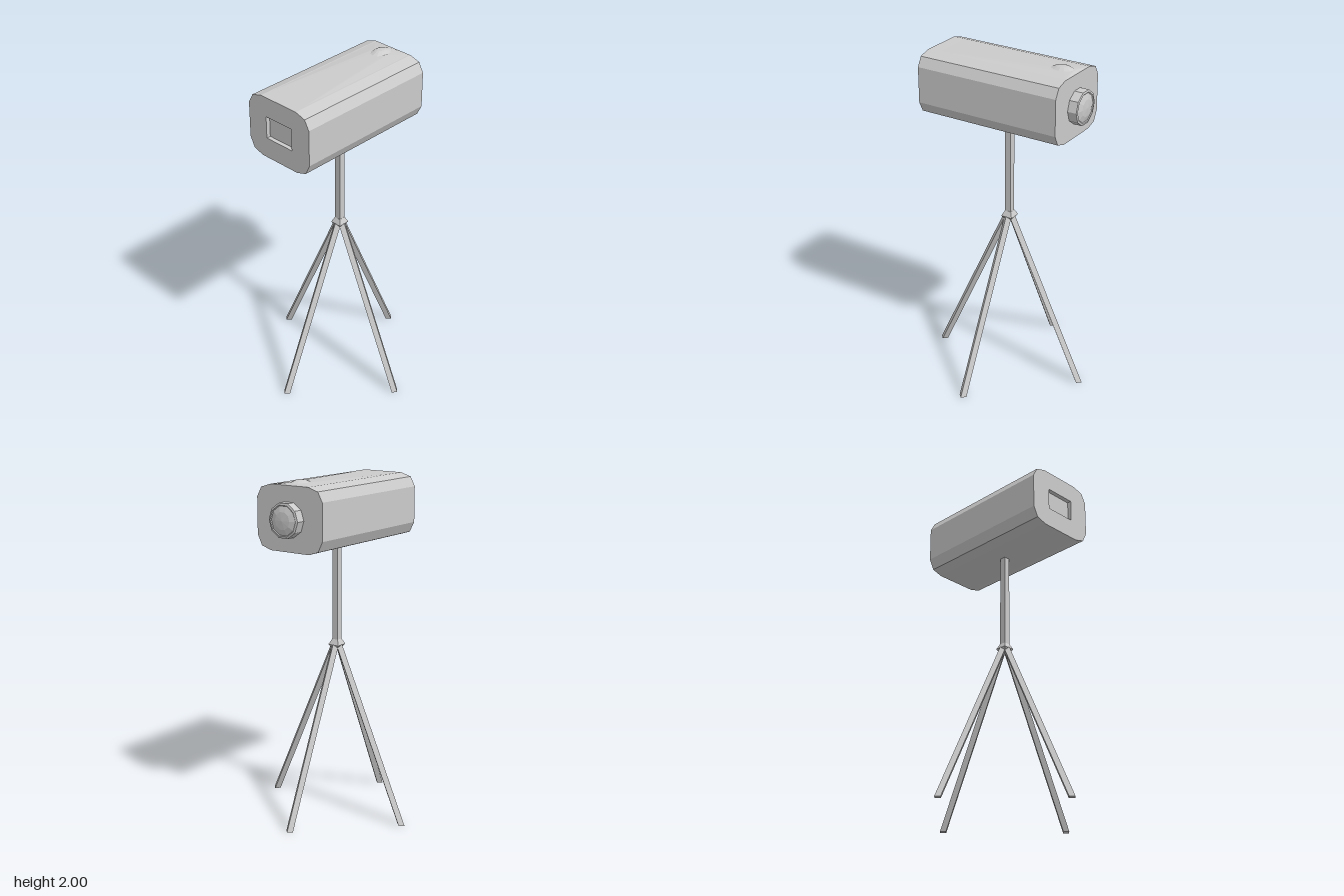
import * as THREE from 'three';
import { ConvexGeometry } from 'three/addons/geometries/ConvexGeometry.js';

export function createModel() {
  const model = new THREE.Group();
  const grey = new THREE.MeshStandardMaterial({ color: 0xcccccc, flatShading: true });
  const add = (name, geometry, x = 0, y = 0, z = 0) => {
    const mesh = new THREE.Mesh(geometry, grey);
    mesh.name = name;
    mesh.position.set(x, y, z);
    model.add(mesh);
    return mesh;
  };

  const back = -0.46, front = 0.43, lensY = 1.79;

  // Housing: bevelled section run lengthwise, with a window opening at the rear
  const half = [[0.13, 1.61], [0.195, 1.63], [0.225, 1.69], [0.225, 1.9], [0.195, 1.955], [0.13, 1.975]];
  const outline = [...half, ...half.map(([z, y]) => [-z, y]).reverse()];
  const section = new THREE.Shape(outline.map(([z, y]) => new THREE.Vector2(z, y)));
  const winW = 0.19, winH = 0.13, winY = 1.795;
  const opening = new THREE.Path();
  opening.moveTo(-winW / 2, winY - winH / 2);
  opening.lineTo(-winW / 2, winY + winH / 2);
  opening.lineTo(winW / 2, winY + winH / 2);
  opening.lineTo(winW / 2, winY - winH / 2);
  opening.closePath();
  section.holes.push(opening);
  const housing = new THREE.ExtrudeGeometry(section, { depth: front - back, bevelEnabled: false });
  housing.rotateY(Math.PI / 2);
  add('housing', housing, back);

  // Recessed floor of the rear window
  const inset = 0.025;
  add('rearWindow', new THREE.BoxGeometry(front - back - inset, winH, winW), (front + back + inset) / 2, winY, 0);

  // Gently raised top panel, sloping up to the button
  const buttonX = 0.335, buttonZ = -0.005;
  const panel = [];
  for (const x of [back, front]) for (const z of [-0.13, 0.13]) panel.push(new THREE.Vector3(x, 1.974, z));
  for (let i = 0; i < 12; i++) {
    const a = (i / 12) * Math.PI * 2;
    panel.push(new THREE.Vector3(buttonX + 0.07 * Math.cos(a), 1.984, buttonZ + 0.05 * Math.sin(a)));
  }
  add('topPanel', new ConvexGeometry(panel));

  // Oval button
  const buttonProfile = [[1, 0], [0.6, 0.012], [0.4, 0.016], [0, 0.017]].map(([r, y]) => new THREE.Vector2(r, y));
  add('button', new THREE.LatheGeometry(buttonProfile, 12).scale(0.07, 1, 0.05), buttonX, 1.983, buttonZ);

  // Lens barrel with a bevelled rim and domed glass
  const lensProfile = [[0.1, -0.01], [0.1, 0.053], [0.088, 0.056], [0.083, 0.052], [0.05, 0.062], [0, 0.066]]
    .map(([r, y]) => new THREE.Vector2(r, y));
  add('lens', new THREE.LatheGeometry(lensProfile, 10).rotateZ(-Math.PI / 2), front, lensY, 0);

  // Square centre post and flared collar
  add('post', new THREE.BoxGeometry(0.038, 0.62, 0.038), 0, 1.31, 0);
  const collar = [[0, 0.985], [0.03, 0.988], [0.05, 1.008], [0.028, 1.04], [0, 1.04]].map(([r, y]) => new THREE.Vector2(r, y));
  add('collar', new THREE.LatheGeometry(collar, 4).rotateY(Math.PI / 4));

  // Four splayed legs: diamond prisms sheared so that both ends stay level
  const feet = [[0.48, -0.02], [-0.48, 0.02], [0.02, -0.48], [-0.02, 0.48]];
  for (const [footX, footZ] of feet) {
    const leg = new THREE.CylinderGeometry(0.024, 0.024, 1.01, 4).translate(0, 0.505, 0);
    const shear = new THREE.Matrix4().set(
      1, -footX * 0.96, 0, footX,
      0, 1, 0, 0,
      0, -footZ * 0.96, 1, footZ,
      0, 0, 0, 1);
    add('leg', leg.applyMatrix4(shear));
  }

  return model;
}
